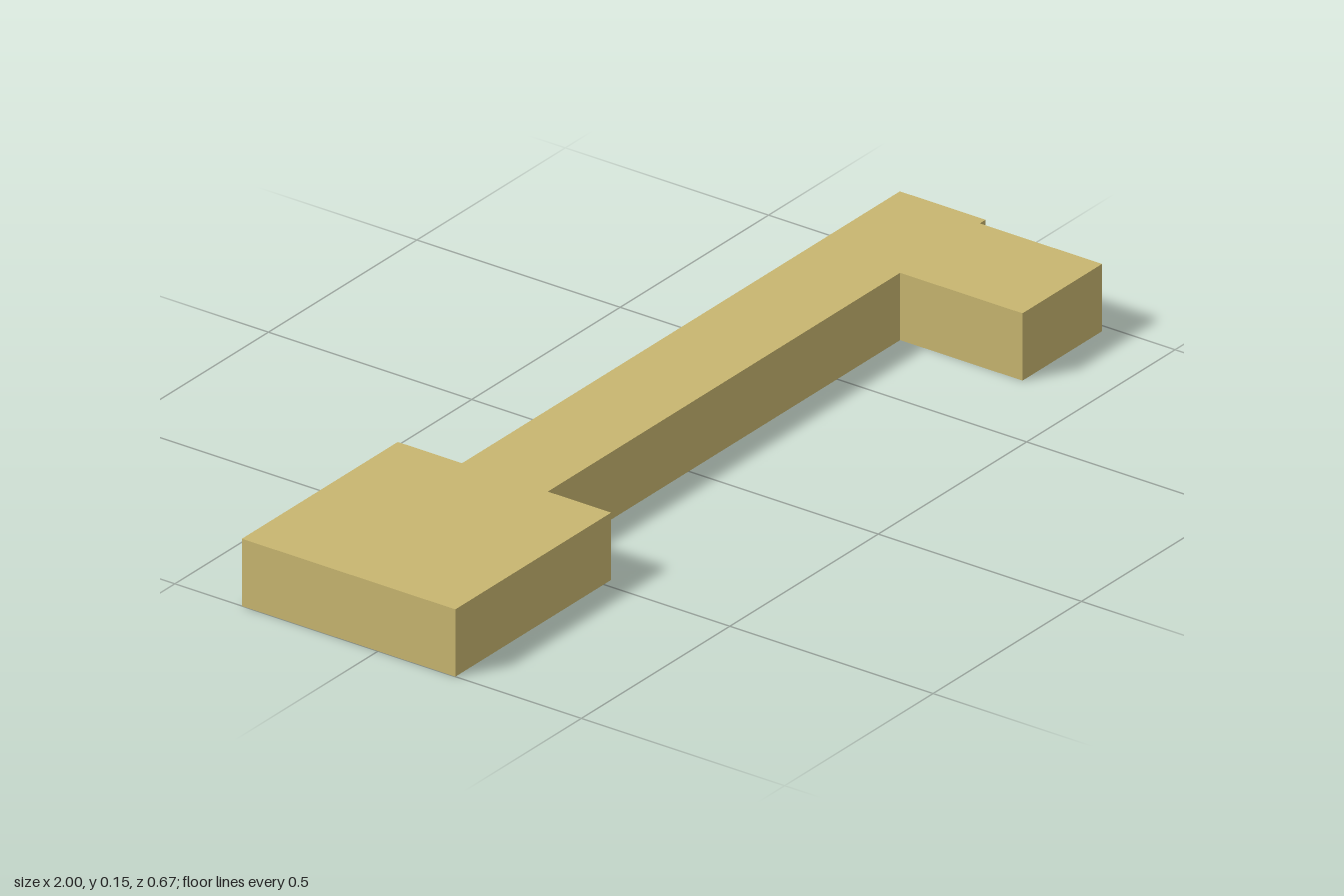
import * as THREE from 'three';

export function createModel() {
  const group = new THREE.Group();
  group.name = 'key';

  const brass = new THREE.MeshStandardMaterial({ color: 0xc8b670 });
  brass.name = 'brass';

  const height = 0.15;
  const bow = { left: -1, right: -0.475, back: -0.335, front: 0.19 };
  const shaft = { right: 1, back: -0.177, front: 0.034 };
  const bit = { left: 0.712, right: 0.98, front: 0.335 };

  // Plan outline of bow, shaft and bit as [x, z]
  const outline = [
    [bow.left, bow.front], [bow.right, bow.front],
    [bow.right, shaft.front], [bit.left, shaft.front],
    [bit.left, bit.front], [bit.right, bit.front],
    [bit.right, shaft.front], [shaft.right, shaft.front],
    [shaft.right, shaft.back], [bow.right, shaft.back],
    [bow.right, bow.back], [bow.left, bow.back],
  ];
  const shape = new THREE.Shape(outline.map(([x, z]) => new THREE.Vector2(x, -z)));

  // Raise the outline into a solid standing on the ground
  const geometry = new THREE.ExtrudeGeometry(shape, { depth: height, bevelEnabled: false });
  geometry.rotateX(-Math.PI / 2);

  const body = new THREE.Mesh(geometry, brass);
  body.name = 'keyBody';
  group.add(body);
  return group;
}
